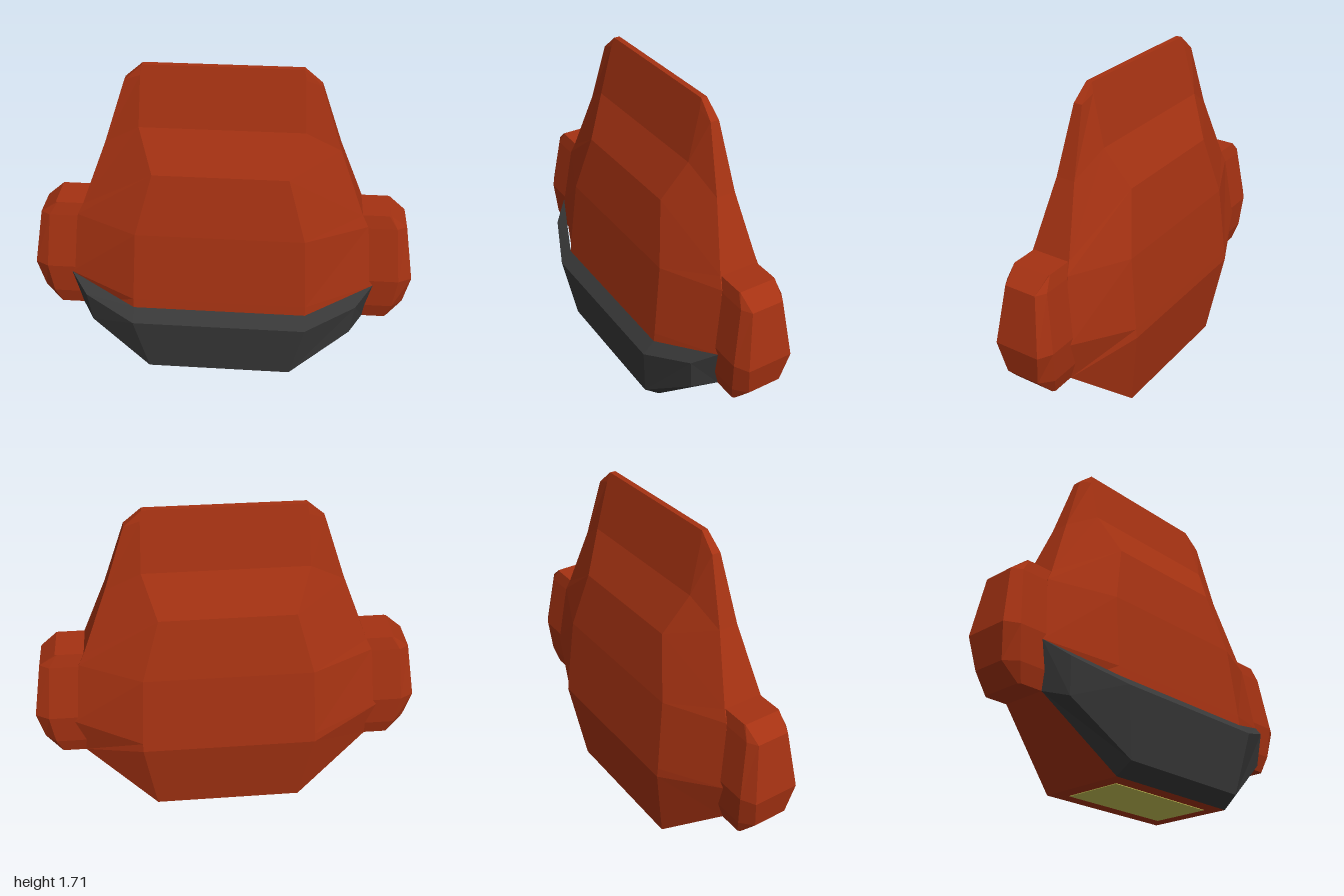
import * as THREE from 'three';

const shell = new THREE.MeshStandardMaterial({ name: 'rust red', color: 0xa53212 });
const dark = new THREE.MeshStandardMaterial({ name: 'charcoal', color: 0x383838 });
const olive = new THREE.MeshStandardMaterial({ name: 'olive yellow', color: 0xc8c455 });
for (const m of [shell, dark, olive]) m.flatShading = true;

// Skins closed rings of [x, y, z]; caps are lists of ring indices
function loft(name, rings, material, startCaps, endCaps) {
  const pos = [];
  const tri = (a, b, c) => {
    const u = new THREE.Vector3(...b).sub(new THREE.Vector3(...a));
    const v = new THREE.Vector3(...c).sub(new THREE.Vector3(...a));
    if (u.cross(v).length() > 1e-7) pos.push(...a, ...b, ...c);
  };
  const n = rings[0].length;
  for (let i = 0; i < rings.length - 1; i++) {
    for (let j = 0; j < n; j++) {
      const k = (j + 1) % n;
      tri(rings[i][j], rings[i][k], rings[i + 1][k]);
      tri(rings[i][j], rings[i + 1][k], rings[i + 1][j]);
    }
  }
  const fan = (ring, ids, flip) => {
    for (let i = 1; i < ids.length - 1; i++) {
      const [a, b, c] = [ring[ids[0]], ring[ids[i]], ring[ids[i + 1]]];
      flip ? tri(a, c, b) : tri(a, b, c);
    }
  };
  startCaps.forEach(ids => fan(rings[0], ids, true));
  endCaps.forEach(ids => fan(rings[rings.length - 1], ids, false));
  const geo = new THREE.BufferGeometry();
  geo.setAttribute('position', new THREE.Float32BufferAttribute(pos, 3));
  geo.computeVertexNormals();
  const mesh = new THREE.Mesh(geo, material);
  mesh.name = name;
  return mesh;
}

const all = n => [Array.from({ length: n }, (_, i) => i)];

export function createModel() {
  const group = new THREE.Group();
  group.name = 'model';
  const midZ = -0.03;

  // Body: each level has a front edge [x, y, z] and a side edge [x, y, z]
  const levels = [
    [0.39, 0, 0.23, 0.39, 0, 0.23],
    [0.45, 0.45, 0.30, 0.76, 0.33, 0.12],
    [0.45, 0.50, 0.295, 0.80, 0.56, 0.155],
    [0.43, 0.88, 0.255, 0.75, 0.90, 0.115],
    [0.34, 1.20, 0.195, 0.72, 0.96, 0.105],
    [0.41, 1.41, 0.09, 0.59, 1.30, 0.05],
    [0.40, 1.66, 0.0275, 0.48, 1.63, 0.0225],
    [0.39, 1.71, 0.015, 0.39, 1.71, 0.015],
  ];
  const bodyRings = levels.map(([fx, fy, fz, sx, sy, sz]) => [
    [-fx, fy, fz], [fx, fy, fz], [sx, sy, sz], [sx, sy, -sz],
    [fx, fy, -fz], [-fx, fy, -fz], [-sx, sy, -sz], [-sx, sy, sz],
  ]);
  const body = loft('body', bodyRings, shell, all(8), all(8));
  body.position.z = midZ;
  group.add(body);

  // Side lugs: y, shoulder x, shoulder half depth, outer x, outer half depth
  const lugLevels = [
    [0.33, 0.88, 0.12, 0.89, 0.11],
    [0.42, 0.91, 0.145, 0.97, 0.09],
    [0.59, 0.93, 0.158, 1.0, 0.12],
    [0.89, 0.90, 0.115, 0.95, 0.085],
    [0.96, 0.855, 0.10, 0.865, 0.098],
  ];
  for (const side of [1, -1]) {
    const rings = lugLevels.map(([y, x, a, xo, b]) => {
      const ring = [[0.6, y, a], [x, y, a], [xo, y, b], [xo, y, -b], [x, y, -a], [0.6, y, -a]];
      return side > 0 ? ring : ring.map(([px, py, pz]) => [-px, py, pz]).reverse();
    });
    const lug = loft(side > 0 ? 'leftLug' : 'rightLug', rings, shell, all(6), all(6));
    lug.position.z = midZ;
    group.add(lug);
  }

  // Front guard: a raised bevelled plate over the lower front
  const mirrored = half => [...half, ...half.map(([x, y, z]) => [-x, y, z]).reverse()];
  const rim = mirrored([[0.39, 0, 0.20], [0.76, 0.33, 0.09], [0.80, 0.56, 0.125], [0.45, 0.45, 0.27]]);
  const face = mirrored([[0.38, 0.06, 0.28], [0.69, 0.30, 0.20], [0.71, 0.48, 0.22], [0.45, 0.39, 0.33]]);
  group.add(loft('frontGuard', [rim, face], dark, [], [[7, 0, 3, 4], [0, 1, 2, 3], [4, 5, 6, 7]]));

  // Thin panel set in the underside
  const panel = new THREE.Mesh(new THREE.BoxGeometry(0.63, 0.006, 0.31), olive);
  panel.name = 'bottomPanel';
  panel.position.set(0, 0, midZ);
  group.add(panel);

  return group;
}
